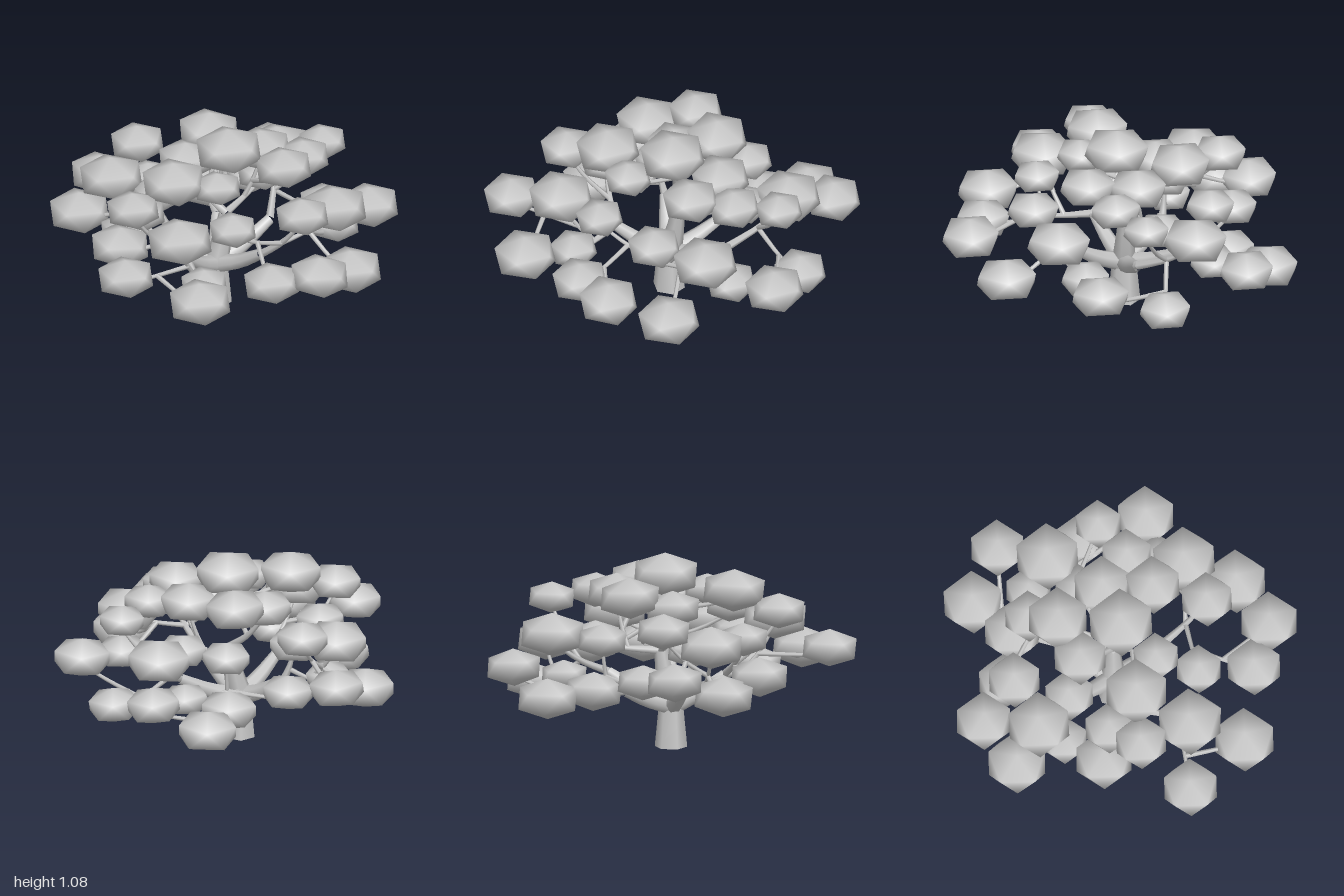
import * as THREE from 'three';
import { mergeVertices } from 'three/addons/utils/BufferGeometryUtils.js';

const V = (x, y, z) => new THREE.Vector3(x, y, z);
const FORK = V(-0.05, 0.23, -0.015);
const SMALLEST = 0.127;

// Each limb carries foliage clumps, listed from the largest to the smallest
const LIMBS = [
  { name: 'leftFrontLimb', largest: 0.172, thickness: 0.055, clumps: [
    [-0.585, 0.68, 0.26], [-0.745, 0.44, 0.345], [-0.845, 0.535, 0.085],
    [-0.635, 0.775, 0], [-0.36, 0.61, 0.13], [-0.45, 0.41, 0.3]] },
  { name: 'leftBackLimb', largest: 0.165, thickness: 0.055, clumps: [
    [-0.645, 0.385, -0.64], [-0.5, 0.4, -0.4], [-0.425, 0.51, -0.85],
    [-0.655, 0.49, -0.11], [-0.42, 0.67, -0.36], [-0.34, 0.45, -0.58]] },
  { name: 'rightLimb', largest: 0.175, thickness: 0.055, clumps: [
    [0.5, 0.645, -0.385], [0.755, 0.41, -0.25], [0.83, 0.53, 0.075], [0.665, 0.505, 0.285],
    [0.53, 0.72, -0.1], [0.39, 0.46, -0.5], [0.35, 0.71, 0.265]] },
  { name: 'backLimb', largest: 0.175, thickness: 0.055, clumps: [
    [-0.2, 0.65, -0.66], [0.41, 0.48, -0.755], [0.04, 0.335, -0.795], [0.11, 0.79, -0.695]] },
  { name: 'frontLimb', largest: 0.175, thickness: 0.055, clumps: [
    [0.2, 0.685, 0.53], [0.475, 0.46, 0.655], [-0.29, 0.455, 0.495], [0.09, 0.545, 0.845],
    [-0.105, 0.79, 0.585], [-0.225, 0.65, 0.4], [0.29, 0.41, 0.43]] },
  { name: 'leader', largest: 0.178, thickness: 0.07, clumps: [
    [0.01, 0.955, -0.055], [-0.04, 0.885, 0.33], [-0.3, 0.885, -0.22],
    [0, 0.85, -0.325], [0.26, 0.87, -0.23], [-0.255, 0.82, 0.015],
    [0.19, 0.82, -0.46], [-0.1, 0.62, -0.43], [0.135, 0.85, 0.165]] },
];

// Slightly sagging halfway point of a branch, where later twigs may sprout
function halfway(a, b) {
  const mid = a.clone().lerp(b, 0.5);
  mid.y -= 0.1 * Math.abs(b.y - a.y);
  return mid;
}

// Branch from a to b that narrows from r0 to r1
function branch(a, b, r0, r1, sides) {
  const segments = 5;
  const curve = new THREE.CatmullRomCurve3([a, halfway(a, b), b]);
  const geo = new THREE.TubeGeometry(curve, segments, 1, sides, false);
  const pos = geo.attributes.position;
  const centre = V(0, 0, 0), p = V(0, 0, 0);
  for (let i = 0; i < pos.count; i++) {
    const t = Math.floor(i / (sides + 1)) / segments;
    curve.getPointAt(t, centre);
    p.fromBufferAttribute(pos, i).sub(centre)
      .multiplyScalar(r0 + (r1 - r0) * t).add(centre);
    pos.setXYZ(i, p.x, p.y, p.z);
  }
  return geo;
}

// Twenty-sided ball with a corner upward and smooth shading
function clumpGeometry() {
  let geo = new THREE.IcosahedronGeometry(1, 0);
  geo.deleteAttribute('normal');
  geo.deleteAttribute('uv');
  geo = mergeVertices(geo, 1e-4);
  geo.rotateZ(-Math.atan2(1, (1 + Math.sqrt(5)) / 2));
  geo.computeVertexNormals();
  return geo;
}

export function createModel() {
  const tree = new THREE.Group();
  tree.name = 'tree';
  const grey = new THREE.MeshStandardMaterial({ color: 0xc8c8c8 });
  grey.name = 'plain grey';
  const add = (parent, geo, name) => {
    const mesh = new THREE.Mesh(geo, grey);
    mesh.name = name;
    parent.add(mesh);
    return mesh;
  };

  // Trunk with a closed foot and a rounded fork
  const trunk = new THREE.CylinderGeometry(0.068, 0.09, 0.23, 6);
  trunk.translate(-0.052, 0.115, -0.018);
  add(tree, trunk, 'trunk');
  const crotch = new THREE.SphereGeometry(0.066, 8, 6);
  crotch.translate(FORK.x, FORK.y, FORK.z);
  add(tree, crotch, 'fork');

  const ball = clumpGeometry();
  for (const { name, largest, thickness, clumps } of LIMBS) {
    const group = new THREE.Group();
    group.name = name;
    tree.add(group);
    const centres = clumps.map((c) => V(...c));

    // Foliage clumps
    centres.forEach((c, i) => {
      const r = THREE.MathUtils.lerp(largest, SMALLEST, i / (centres.length - 1));
      const clump = add(group, ball, 'foliageClump');
      clump.position.copy(c);
      clump.scale.set(r * 1.12, r * 0.7, r * 1.12);
      clump.rotation.set(0.04 * Math.sin(i * 2.3), 0, 0.04 * Math.cos(i * 1.7));
    });

    // The limb reaches halfway to the middle of its clumps
    const middle = centres.reduce((sum, c) => sum.add(c), V(0, 0, 0))
      .divideScalar(centres.length);
    const end = FORK.clone().lerp(middle, 0.5);
    add(group, branch(FORK, end, thickness, thickness * 0.55, 7), 'limb');

    // Twigs sprout from the nearest joint, working outward from the limb
    const joints = [end];
    const tips = centres.map((c) => V(c.x, c.y - 0.045, c.z))
      .sort((a, b) => a.distanceTo(end) - b.distanceTo(end));
    for (const tip of tips) {
      const start = joints.reduce((best, j) =>
        (j.distanceTo(tip) < best.distanceTo(tip) ? j : best));
      add(group, branch(start, tip, start === end ? 0.024 : 0.015, 0.009, 5), 'twig');
      joints.push(halfway(start, tip));
    }
  }
  return tree;
}
